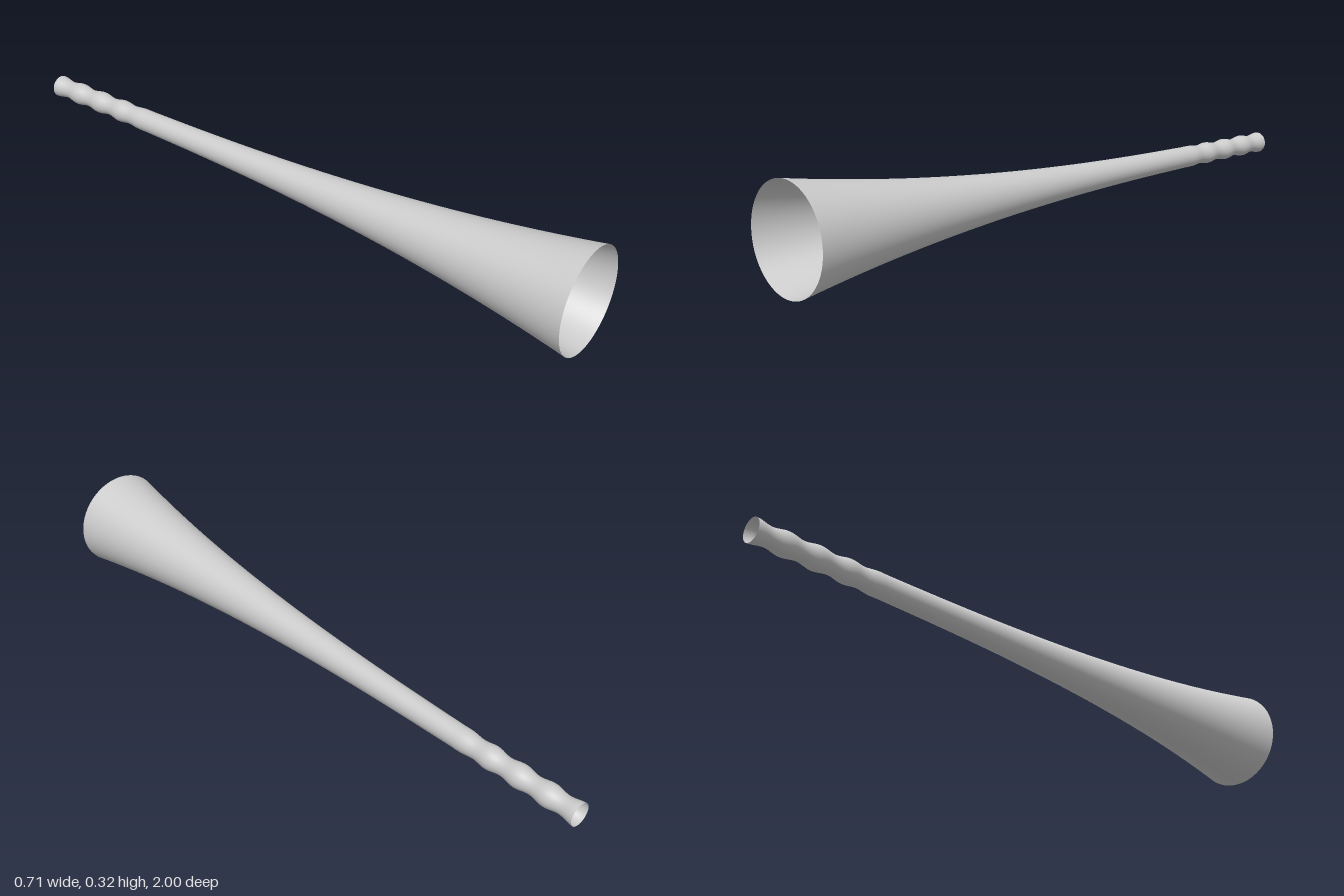
import * as THREE from 'three';

const LENGTH = 2.015;
const BELL_RADIUS = 0.159;
const TUBE_RADIUS = 0.034;

// Radius at distance s from the mouth end: flared horn with fading grip ripples
function hornRadius(s) {
  const flare = (BELL_RADIUS - TUBE_RADIUS) * Math.pow(s / LENGTH, 2.88);
  const fade = 1 - THREE.MathUtils.smoothstep(s, 0.28, 0.46);
  const ripple = fade * (0.0035 * Math.cos((2 * Math.PI * s) / 0.1) - 0.002);
  return TUBE_RADIUS + flare + ripple;
}

export function createModel() {
  const group = new THREE.Group();
  group.name = 'horn';

  // Finely sampled at the ripples, coarser along the flare
  const profile = [];
  for (let i = 0; i < 60; i++) {
    const s = (0.5 * i) / 60;
    profile.push(new THREE.Vector2(hornRadius(s), s));
  }
  for (let i = 0; i <= 48; i++) {
    const s = 0.5 + ((LENGTH - 0.5) * i) / 48;
    profile.push(new THREE.Vector2(hornRadius(s), s));
  }

  // Thin open shell, laid down with the bell towards the front left
  const geometry = new THREE.LatheGeometry(profile, 96);
  geometry.translate(0, -LENGTH / 2, 0);
  geometry.rotateX(Math.PI / 2);
  geometry.rotateY(THREE.MathUtils.degToRad(15.1));
  geometry.computeBoundingBox();
  const box = geometry.boundingBox;
  const center = box.getCenter(new THREE.Vector3());
  geometry.translate(-center.x, -box.min.y, -center.z);

  const shell = new THREE.Mesh(
    geometry,
    new THREE.MeshStandardMaterial({ color: 0xcccccc, side: THREE.DoubleSide })
  );
  shell.name = 'hornShell';
  group.add(shell);
  return group;
}
